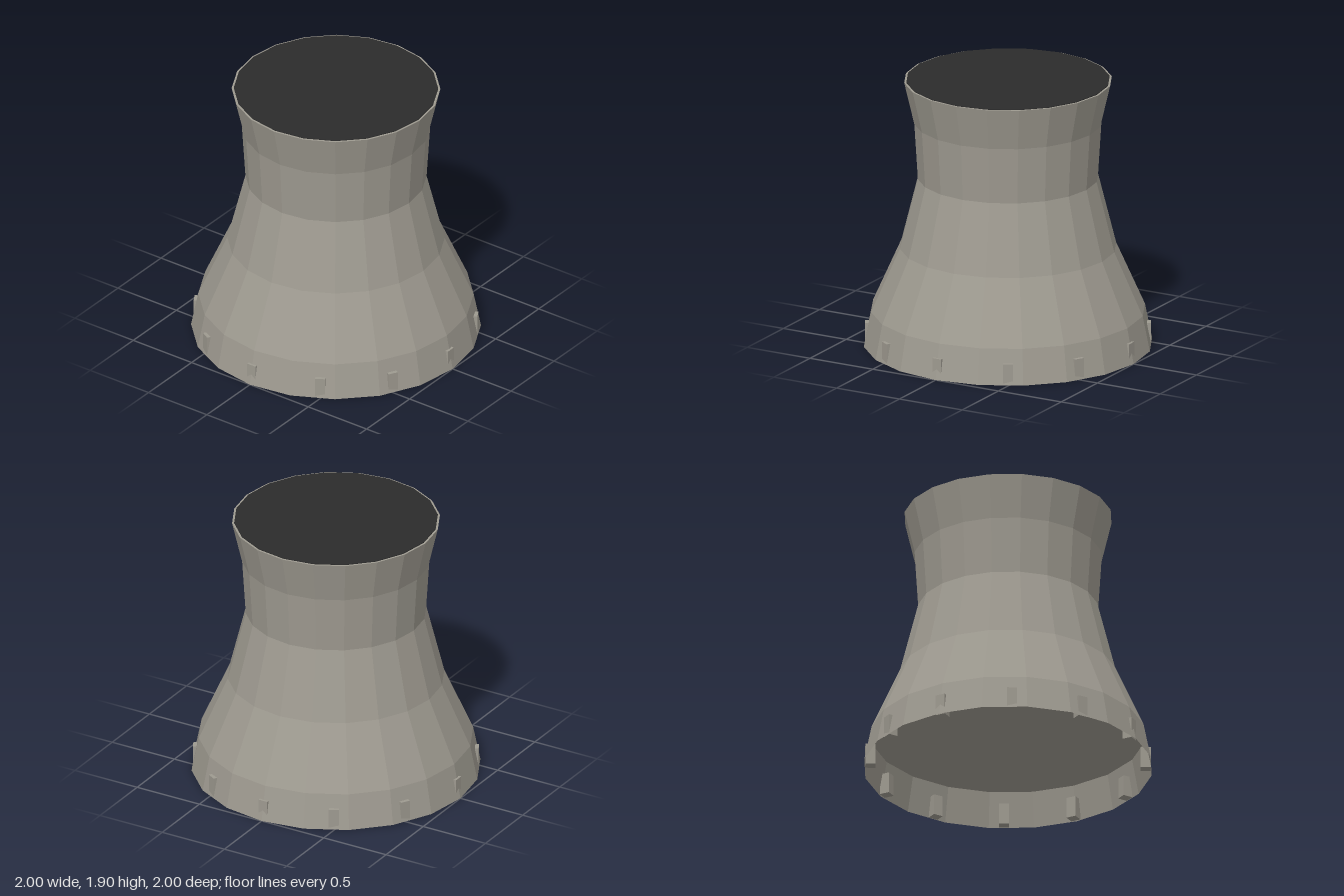
import * as THREE from 'three';

const SIDES = 20;

export function createModel() {
  const concrete = new THREE.MeshStandardMaterial({
    name: 'warm grey concrete', color: 0x9e9a90, flatShading: true, side: THREE.DoubleSide,
  });
  const dark = new THREE.MeshStandardMaterial({ name: 'dark opening', color: 0x2b2b2b, flatShading: true });

  const tower = new THREE.Group();
  tower.name = 'coolingTower';
  const add = (name, geometry, material, parent = tower) => {
    const mesh = new THREE.Mesh(geometry, material);
    mesh.name = name;
    parent.add(mesh);
    return mesh;
  };

  // Waisted shell, open at the foot, with a narrow rim at the top
  const profile = [[1, 0], [0.95, 0.25], [0.75, 0.7], [0.625, 1.2], [0.65, 1.6], [0.72, 1.9], [0.69, 1.9]]
    .map(([r, y]) => new THREE.Vector2(r, y));
  add('shell', new THREE.LatheGeometry(profile, SIDES), concrete);

  // Floor closing the shell above the open skirt
  const floor = add('innerFloor', new THREE.CircleGeometry(0.95, SIDES), concrete);
  floor.rotation.x = Math.PI / 2;
  floor.position.y = 0.25;

  // Dark mouth, just proud of the rim
  add('mouth', new THREE.CylinderGeometry(0.705, 0.705, 0.008, SIDES), dark).position.y = 1.901;

  // Twelve short support blocks set through the skirt
  const supports = new THREE.Group();
  supports.name = 'supports';
  tower.add(supports);
  const block = new THREE.BoxGeometry(0.07, 0.15, 0.07);
  for (let i = 0; i < 12; i++) {
    const a = (i / 12) * Math.PI * 2;
    const support = add('support', block, concrete, supports);
    support.position.set(Math.sin(a) * 0.95, 0.075, Math.cos(a) * 0.95);
    support.rotation.y = a;
  }

  return tower;
}
